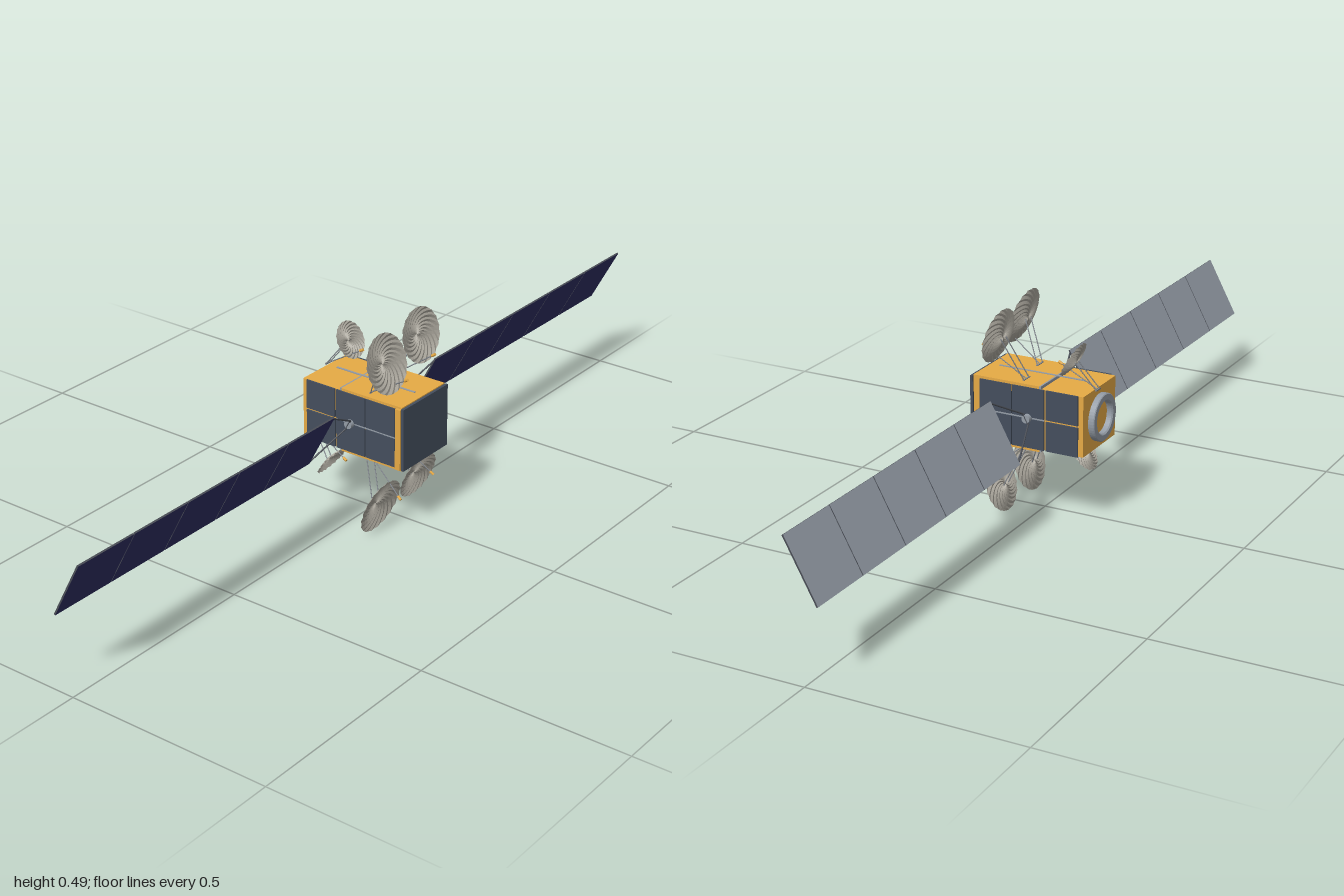
import * as THREE from 'three';

const mat = (name, color, side = THREE.FrontSide) => {
  const m = new THREE.MeshStandardMaterial({ color, side });
  m.name = name;
  return m;
};

export function createModel() {
  const gold = mat('gold foil', 0xe6aa45);
  const slate = mat('slate radiator', 0x444e5d);
  const navy = mat('solar cell navy', 0x2d2d5f);
  const grey = mat('panel back grey', 0x949ca6);
  const dark = mat('dark frame', 0x4a4e56);
  const strut = mat('strut grey', 0x80858c);
  const mesh = mat('dish mesh grey', 0xaaa69c, THREE.DoubleSide);
  mesh.flatShading = true;

  const root = new THREE.Group();
  root.name = 'satellite';
  const V = (x, y, z) => new THREE.Vector3(x, y, z);
  const UP = V(0, 1, 0);
  const CY = 0.247; // height of the body axis

  function add(parent, name, geo, material, x = 0, y = 0, z = 0) {
    const m = new THREE.Mesh(geo, material);
    m.name = name;
    m.position.set(x, y, z);
    parent.add(m);
    return m;
  }
  const box = (parent, name, material, w, h, d, x, y, z) =>
    add(parent, name, new THREE.BoxGeometry(w, h, d), material, x, y, z);

  // Round bar between two points
  function bar(parent, name, a, b, r, material) {
    const d = b.clone().sub(a);
    const m = add(parent, name, new THREE.CylinderGeometry(r, r, d.length(), 8), material);
    m.position.copy(a).lerp(b, 0.5);
    m.quaternion.setFromUnitVectors(UP, d.normalize());
    return m;
  }

  // Body
  const body = new THREE.Group();
  body.name = 'body';
  root.add(body);
  box(body, 'core', gold, 0.16, 0.144, 0.279, 0, CY, 0.0015);
  box(body, 'frontPlate', slate, 0.168, 0.153, 0.007, 0, CY, 0.1445);
  box(body, 'sideEdgeStrip', gold, 0.008, 0.15, 0.014, -0.084, CY, 0.134);
  for (const s of [1, -1]) {
    box(body, 'deckPanel', gold, 0.162, 0.007, 0.169, 0, CY + s * 0.0755, 0.0565);
    box(body, 'deckEdge', grey, 0.162, 0.007, 0.004, 0, CY + s * 0.0755, -0.03);
    box(body, 'deckRail', grey, 0.005, 0.002, 0.221, 0, CY + s * 0.0795, 0.0075);
    // Radiator tiles on both sides
    for (const z of [0.083, -0.0005, -0.0855])
      for (const y of [0.2845, 0.2095])
        box(body, 'sideRadiator', slate, 0.004, 0.0705, 0.081, s * 0.082, y, z);
    box(body, 'sideRail', grey, 0.002, 0.0045, 0.166, s * 0.081, CY, 0.042);
  }

  // Rear adapter ring around a gold centre
  const ringProfile = [
    [0.038, 0], [0.056, 0], [0.056, 0.014], [0.054, 0.016], [0.041, 0.016], [0.038, 0.013], [0.038, 0],
  ].map(([r, y]) => new THREE.Vector2(r, y));
  const ring = add(body, 'adapterRing', new THREE.LatheGeometry(ringProfile, 48).toNonIndexed(), grey, 0, CY, -0.137);
  ring.geometry.computeVertexNormals();
  ring.rotation.x = -Math.PI / 2;

  // Solar wings, tilted about the x axis
  for (const s of [1, -1]) {
    const wing = new THREE.Group();
    wing.name = s > 0 ? 'leftWing' : 'rightWing';
    wing.position.y = CY;
    wing.rotation.x = 0.494;
    root.add(wing);
    const n = 5, start = 0.189, pitch = (1 - start) / n, H = 0.156;
    for (let i = 0; i < n; i++) {
      const x = s * (start + pitch * (i + 0.5));
      add(wing, 'solarPanel', new THREE.BoxGeometry(pitch - 0.0025, H, 0.004),
        [dark, dark, dark, dark, navy, grey], x);
      if (i)
        for (const y of [-0.05, 0.05])
          box(wing, 'hinge', dark, 0.004, 0.006, 0.003, s * (start + pitch * i), y, 0);
    }
    // Forked yoke and hub
    for (const k of [1, -1])
      bar(wing, 'yokeArm', V(s * 0.093, k * 0.013, 0), V(s * 0.192, k * 0.074, 0), 0.002, dark);
    bar(wing, 'yokeCrossbar', V(s * 0.093, -0.014, 0), V(s * 0.093, 0.014, 0), 0.0025, dark);
    const hub = add(wing, 'hub', new THREE.CylinderGeometry(0.01, 0.01, 0.014, 20), grey, s * 0.088);
    hub.rotation.z = Math.PI / 2;
  }

  // Shallow bowl with a woven, slightly crinkled surface
  function bowlGeometry(R, depth) {
    const rings = 10, sides = 36, profile = [];
    for (let i = 0; i <= rings; i++) {
      const t = i / rings;
      profile.push(new THREE.Vector2(R * t, depth * (t * t - 1)));
    }
    const geo = new THREE.LatheGeometry(profile, sides);
    const p = geo.attributes.position;
    for (let v = 0; v < p.count; v++) {
      const i = v % (rings + 1), j = Math.floor(v / (rings + 1));
      if (i) p.setY(v, p.getY(v) + ((i + j) % 2 ? 0.0012 : -0.0012));
    }
    geo.computeVertexNormals();
    return geo;
  }

  // Dish antennas: rim centre, radius, facing direction, mount point, feed point
  function dish(name, c, R, facing, base, feed) {
    const g = new THREE.Group();
    g.name = name;
    root.add(g);
    const dir = facing.normalize(), depth = R * 0.2;
    const bowl = add(g, 'reflector', bowlGeometry(R, depth), mesh);
    bowl.position.copy(c).addScaledVector(dir, depth * 0.5);
    bowl.quaternion.setFromUnitVectors(UP, dir);
    const back = c.clone().addScaledVector(dir, -depth * 0.5);
    for (const k of [-1, 1]) {
      const off = V(k * R * 0.18, 0, 0);
      bar(g, 'dishStrut', base.clone().add(off), back.clone().add(off), 0.0013, strut);
    }
    bar(g, 'feedBoom', base, feed, 0.0013, strut);
    const aim = feed.clone().sub(base).normalize().multiplyScalar(0.0055);
    bar(g, 'feedHorn', feed.clone().sub(aim), feed.clone().add(aim), 0.0032, gold);
    box(g, 'mount', strut, R * 0.45, 0.003, 0.004, base.x, base.y, base.z);
  }
  dish('upperRightDish', V(-0.085, 0.422, 0.096), 0.069, V(0, 0.041, 0.132),
    V(-0.05, 0.326, 0.04), V(-0.075, 0.393, 0.148));
  dish('upperLeftDish', V(0.078, 0.427, 0.071), 0.065, V(-0.006, 0.028, 0.127),
    V(0.05, 0.326, 0.021), V(0.065, 0.395, 0.121));
  dish('upperRearDish', V(0.035, 0.384, -0.094), 0.045, V(0, 0.042, 0.077),
    V(0.02, 0.319, -0.144), V(0.03, 0.371, -0.055));
  dish('lowerRightDish', V(-0.086, 0.066, 0.08), 0.0685, V(0, -0.036, 0.123),
    V(-0.05, 0.168, 0.028), V(-0.075, 0.095, 0.131));
  dish('lowerLeftDish', V(0.08, 0.071, 0.065), 0.061, V(-0.004, -0.037, 0.109),
    V(0.05, 0.168, 0.02), V(0.07, 0.093, 0.117));
  dish('lowerRearDish', V(-0.064, 0.124, -0.074), 0.042, V(0, -0.045, 0.062),
    V(-0.04, 0.174, -0.128), V(-0.055, 0.132, -0.039));

  return root;
}
